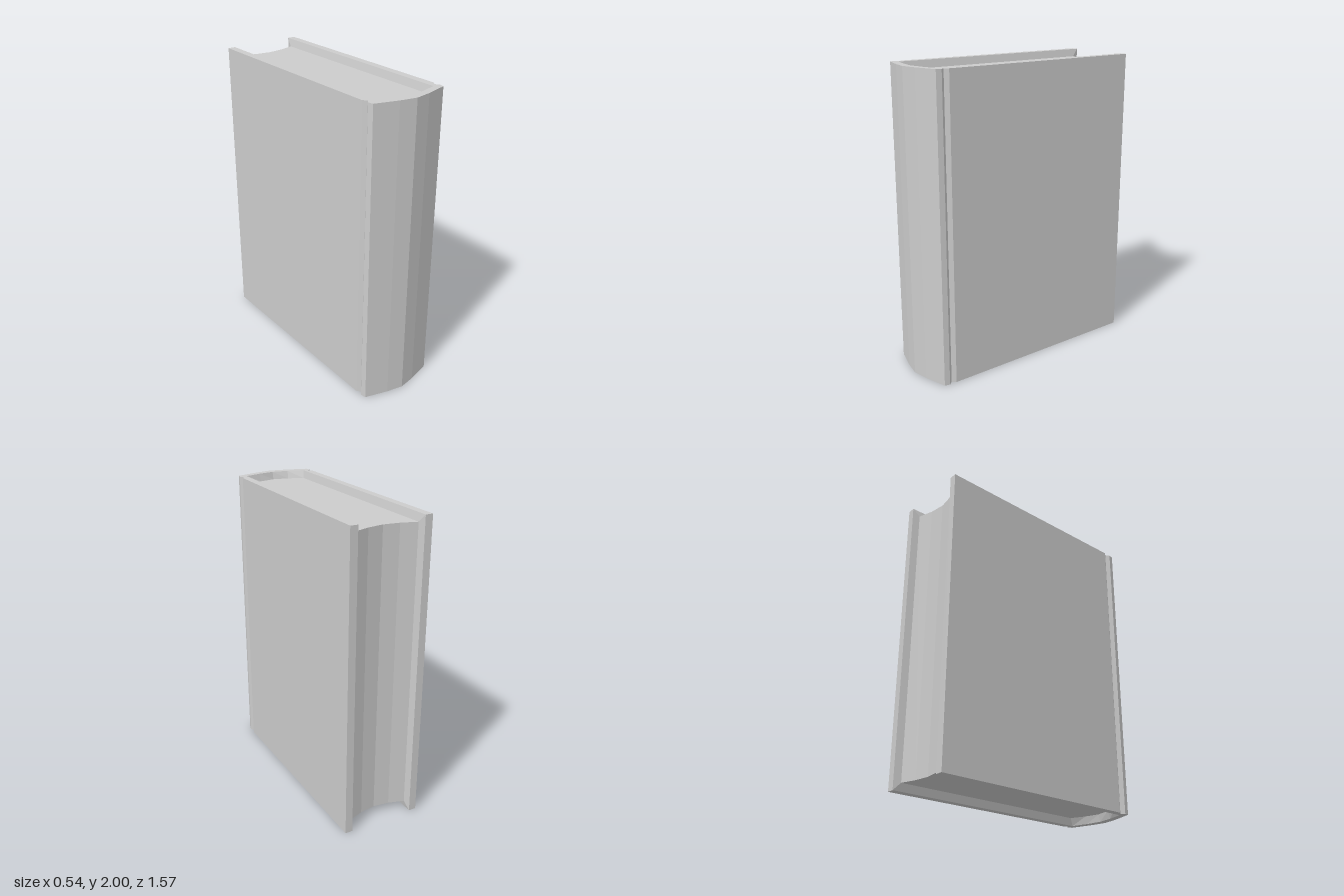
import * as THREE from 'three';

// Mirrors a right-hand outline (ending on x = 0) into a full symmetric path, given as [x, z]
const mirror = (half) => [
  ...half,
  ...half.slice(0, -1).reverse().map(([x, z]) => [-x, z]),
];

// Extrudes a closed [x, z] outline upwards between two heights
function prism(points, y0, y1) {
  const shape = new THREE.Shape(points.map(([x, z]) => new THREE.Vector2(x, -z)));
  const geo = new THREE.ExtrudeGeometry(shape, { depth: y1 - y0, bevelEnabled: false });
  return geo.rotateX(-Math.PI / 2).translate(0, y0, 0);
}

export function createModel() {
  const book = new THREE.Group();
  book.name = 'book';
  const material = new THREE.MeshStandardMaterial({
    color: 0xcccccc, flatShading: true, side: THREE.DoubleSide,
  });
  const add = (name, geo) => {
    const mesh = new THREE.Mesh(geo, material);
    mesh.name = name;
    book.add(mesh);
  };

  const height = 2, inset = 0.05;

  // Cover: two boards, hinge grooves and a rounded spine
  const outer = mirror([
    [0.27, -0.787], [0.27, 0.635], [0.25, 0.66], [0.27, 0.685],
    [0.263, 0.72], [0.11, 0.764], [0, 0.785],
  ]);
  const inner = mirror([[0.22, -0.787], [0.22, 0.683], [0.11, 0.714], [0, 0.731]]);
  add('cover', prism([...outer, ...[...inner].reverse()], 0, height));

  // Page block with a hollow fore edge
  const pageEdge = mirror([[0.208, -0.74], [0.208, 0.657], [0.105, 0.698], [0, 0.72]]);
  const foreEdge = [[-0.105, -0.707], [0, -0.692], [0.105, -0.707]];
  add('pages', prism([...pageEdge, ...foreEdge], inset, height - inset));

  // Sloped lining from the cover's rim down to the sunken page block
  const verts = [];
  const quad = (a, b, c, d) => verts.push(...a, ...b, ...c, ...a, ...c, ...d);
  const at = ([x, z], y) => [x, y, z];
  for (const [rimY, pageY] of [[height, height - inset], [0, inset]]) {
    for (let i = 0; i < inner.length - 1; i++) {
      quad(at(inner[i], rimY), at(inner[i + 1], rimY),
        at(pageEdge[i + 1], pageY), at(pageEdge[i], pageY));
    }
  }
  // Upright lining strips beside the fore edge
  for (const i of [0, inner.length - 1]) {
    quad(at(inner[i], 0), at(inner[i], height),
      at(pageEdge[i], height - inset), at(pageEdge[i], inset));
  }
  const lining = new THREE.BufferGeometry();
  lining.setAttribute('position', new THREE.Float32BufferAttribute(verts, 3));
  lining.computeVertexNormals();
  add('coverLining', lining);

  return book;
}
